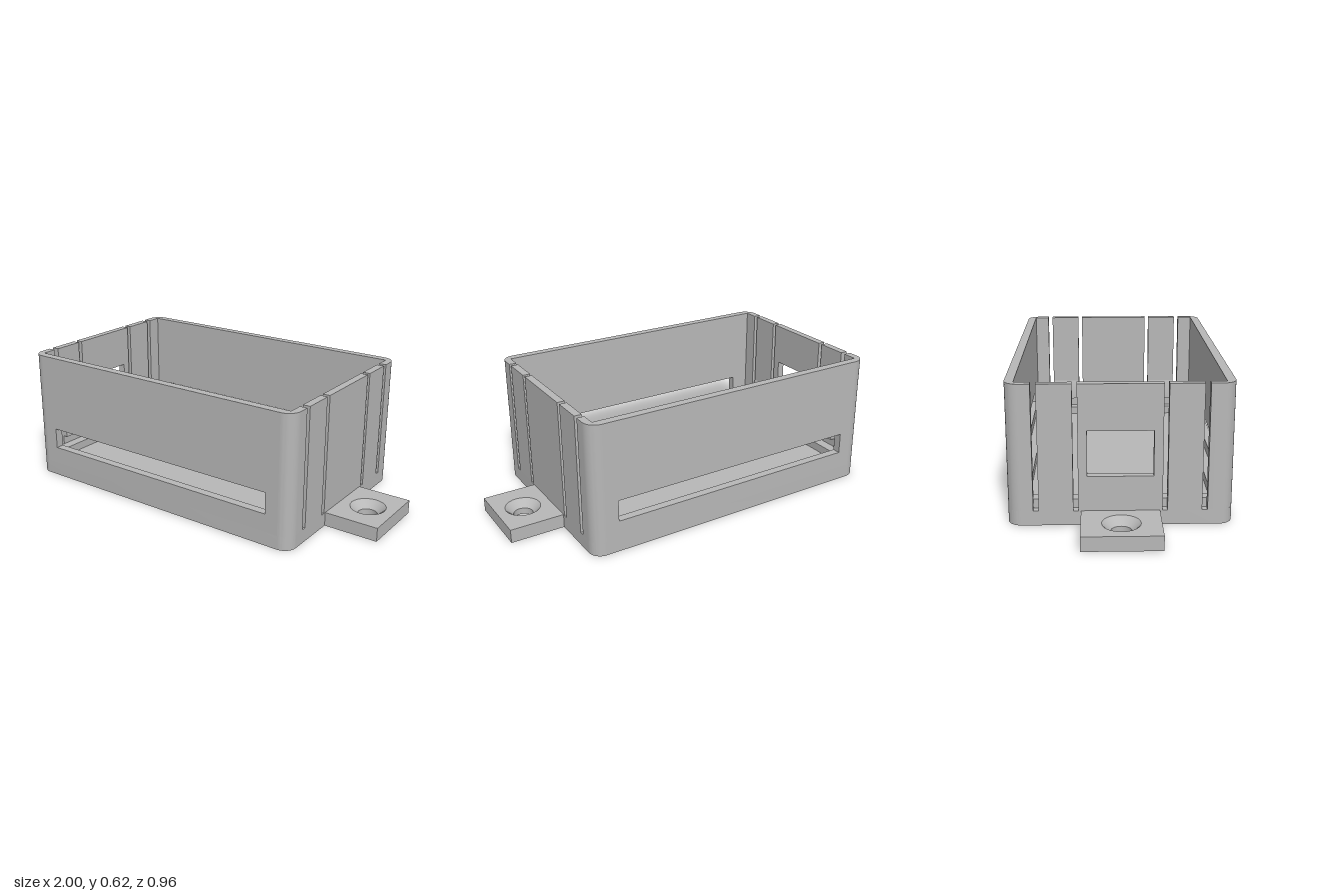
import * as THREE from 'three';
import { toCreasedNormals } from 'three/addons/utils/BufferGeometryUtils.js';

const X = 0.745, Z = 0.48, H = 0.622, R = 0.06;  // outer shell
const IX = 0.71, IZ = 0.44;                      // inside of the walls
const BASE = 0.065, LEDGE = 0.105;               // base and ledge tops
const TAB_Z = 0.168, HOLE_X = 0.873, HOLE_R = 0.045, SINK_R = 0.082;

const plastic = new THREE.MeshStandardMaterial({ color: 0xb8b8b8 });
plastic.name = 'grey plastic';

function rectPath(x0, y0, x1, y1, Type = THREE.Path) {
  return new Type([[x0, y0], [x1, y0], [x1, y1], [x0, y1]].map(p => new THREE.Vector2(...p)));
}

function extrude(shape, depth) {
  const g = new THREE.ExtrudeGeometry(shape, { depth, bevelEnabled: false, curveSegments: 12 });
  return toCreasedNormals(g, 0.5);
}

// Plan outline raised from y0 to y1
function plan(shape, y0, y1) {
  return extrude(shape, y1 - y0).rotateX(-Math.PI / 2).translate(0, y0, 0);
}

export function createModel() {
  const group = new THREE.Group();
  group.name = 'enclosure';
  const add = (name, geometry) => {
    const mesh = new THREE.Mesh(geometry, plastic);
    mesh.name = name;
    group.add(mesh);
  };

  // Base plate with rounded corners and two mounting tabs
  const base = new THREE.Shape();
  base.moveTo(X, -Z + R);
  base.lineTo(X, -TAB_Z).lineTo(1, -TAB_Z).lineTo(1, TAB_Z).lineTo(X, TAB_Z).lineTo(X, Z - R);
  base.absarc(X - R, Z - R, R, 0, Math.PI / 2);
  base.absarc(-X + R, Z - R, R, Math.PI / 2, Math.PI);
  base.lineTo(-X, TAB_Z).lineTo(-1, TAB_Z).lineTo(-1, -TAB_Z).lineTo(-X, -TAB_Z);
  base.absarc(-X + R, -Z + R, R, Math.PI, Math.PI * 1.5);
  base.absarc(X - R, -Z + R, R, Math.PI * 1.5, Math.PI * 2);
  for (const s of [-1, 1]) {
    base.holes.push(new THREE.Path().absarc(s * HOLE_X, 0, SINK_R, 0, Math.PI * 2, true));
  }
  add('basePlate', plan(base, 0, BASE));

  // Countersunk screw holes lining the openings in the tabs
  for (const s of [-1, 1]) {
    const profile = [[SINK_R, BASE], [HOLE_R, 0.03], [HOLE_R, 0], [SINK_R, 0]];
    const sink = new THREE.LatheGeometry(profile.map(p => new THREE.Vector2(...p)), 24);
    add('screwHole', toCreasedNormals(sink, 0.5).translate(s * HOLE_X, 0, 0));
  }

  // Ledge around the floor
  const ledge = rectPath(-IX, -IZ, IX, IZ, THREE.Shape);
  ledge.holes.push(rectPath(-0.66, -0.395, 0.66, 0.395));
  add('ledge', plan(ledge, BASE, LEDGE));

  // Front and back walls with a long slit
  for (const s of [-1, 1]) {
    const wall = rectPath(-X + R, BASE, X - R, H, THREE.Shape);
    wall.holes.push(rectPath(-0.622, 0.15, 0.622, 0.25));
    add(s > 0 ? 'frontWall' : 'backWall',
      extrude(wall, Z - IZ).translate(0, 0, s > 0 ? IZ : -Z));
  }

  for (const sx of [-1, 1]) {
    // Middle side panels, the right one with a window
    const panel = rectPath(-0.179, BASE, 0.179, H, THREE.Shape);
    if (sx < 0) panel.holes.push(rectPath(-0.14, 0.22, 0.14, 0.42));
    add(sx > 0 ? 'leftPanel' : 'rightPanel',
      extrude(panel, X - IX).rotateY(Math.PI / 2).translate(sx > 0 ? IX : -X, 0, 0));

    for (const sz of [-1, 1]) {
      // Rounded corner post
      const points = [];
      for (let i = 0; i <= 12; i++) {
        const a = (i / 12) * Math.PI / 2;
        points.push([X - R + R * Math.sin(a), Z - R + R * Math.cos(a)]);
      }
      points.push([X, 0.37], [IX, 0.37], [IX, IZ], [X - R, IZ]);
      const post = new THREE.Shape(points.map(([x, z]) => new THREE.Vector2(sx * x, sz * z)));
      add('cornerPost', plan(post, BASE, H));

      // Flexible clip between two slots
      const clip = new THREE.BoxGeometry(X - IX, H - BASE, 0.147);
      clip.translate(sx * (X + IX) / 2, (H + BASE) / 2, sz * 0.2735);
      add('clip', clip);

      // Sloped catch inside the clip
      const catchShape = new THREE.Shape([[IX, 0.15], [IX, 0.25], [0.685, 0.16], [0.685, 0.15]]
        .map(([x, y]) => new THREE.Vector2(sx * x, y)));
      add('clipCatch', extrude(catchShape, 0.147).translate(0, 0, sz * 0.2735 - 0.0735));
    }
  }
  return group;
}
